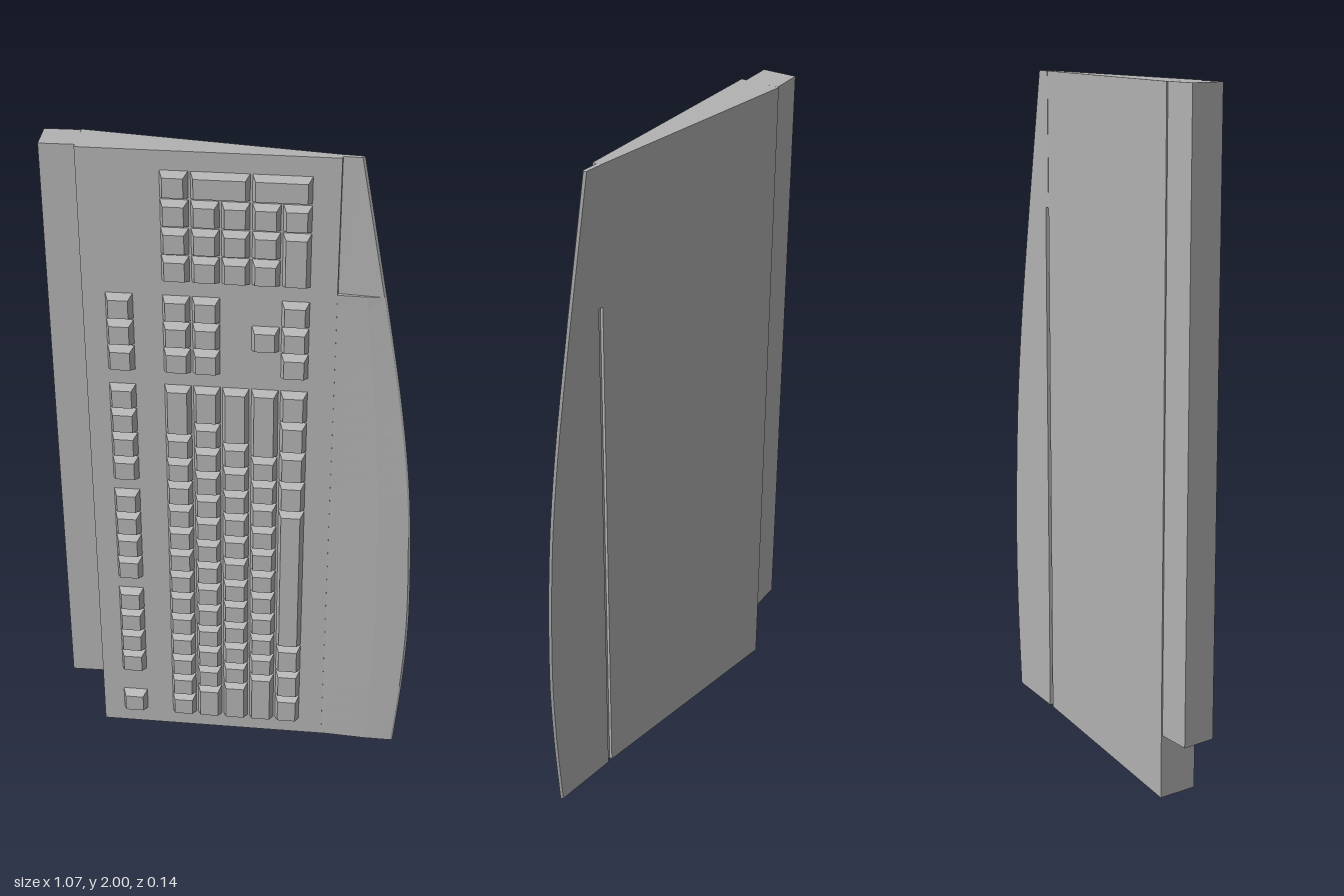
import * as THREE from 'three';

const SLOPE = 0.101; // fall of the top surface along x
const deckZ = (x) => 0.006 - SLOPE * x;

// Skin a stack of [y, [[x, z], ...]] rings; rings run along the front, then return along the back
function loft(sections) {
  const pos = [];
  const tri = (...pts) => pts.forEach((p) => pos.push(...p));
  const rings = sections.map(([y, ring]) => ring.map(([x, z]) => [x, y, z]));
  for (let k = 0; k < rings.length - 1; k++) {
    const a = rings[k], b = rings[k + 1];
    a.forEach((p, i) => {
      const j = (i + 1) % a.length;
      tri(p, a[j], b[j]);
      tri(p, b[j], b[i]);
    });
  }
  [[rings[0], true], [rings[rings.length - 1], false]].forEach(([ring, flip]) => {
    const flat = ring.map((p) => new THREE.Vector2(p[0], -p[2]));
    THREE.ShapeUtils.triangulateShape(flat, []).forEach(([a, b, c]) =>
      flip ? tri(ring[a], ring[c], ring[b]) : tri(ring[a], ring[b], ring[c]));
  });
  const g = new THREE.BufferGeometry();
  g.setAttribute('position', new THREE.Float32BufferAttribute(pos, 3));
  g.computeVertexNormals();
  return g;
}

// Keycap: box whose front face is drawn in
function keyGeometry(w, h) {
  const d = 0.034, inset = 0.012;
  const g = new THREE.BoxGeometry(w, h, d);
  const p = g.attributes.position;
  for (let i = 0; i < p.count; i++) {
    if (p.getZ(i) > 0) {
      p.setX(i, p.getX(i) - Math.sign(p.getX(i)) * inset);
      p.setY(i, p.getY(i) - Math.sign(p.getY(i)) * inset);
    }
  }
  g.translate(0, 0, d / 2 - 0.005);
  g.computeVertexNormals();
  return g;
}

export function createModel() {
  const model = new THREE.Group();
  const grey = new THREE.MeshStandardMaterial({ color: 0xb2b2b2 });
  grey.name = 'plasticGrey';
  const add = (name, geometry, parent = model) => {
    const m = new THREE.Mesh(geometry, grey);
    m.name = name;
    parent.add(m);
    return m;
  };

  // Wedge-shaped case
  const caseRing = [[-0.425, 0.049], [0.279, -0.022], [0.279, -0.047], [-0.438, -0.07]];
  add('case', loft([[0, caseRing], [2, caseRing]]));

  // Raised strip along the rear edge
  const stripRing = [[-0.525, 0.046], [-0.426, 0.034], [-0.438, -0.066], [-0.538, -0.054]];
  add('rearStrip', loft([[0.19, stripRing], [2, stripRing]]));

  // Palm rest with a curved, thin outer edge and a groove behind the joint
  const curve = new THREE.SplineCurve([
    [0.51, 0], [0.529, 0.28], [0.533, 0.55], [0.514, 0.92], [0.475, 1.24], [0.412, 1.6],
  ].map(([x, y]) => new THREE.Vector2(x, y)));
  const rest = [];
  for (let i = 0; i <= 24; i++) {
    const { x: e, y } = curve.getPoint(i / 24);
    const m = 0.279 + 0.6 * (e - 0.279);
    rest.push([y, [
      [0.279, -0.023], [m, -0.029], [e - 0.006, -0.037], [e, -0.042], [e - 0.006, -0.048],
      [0.296, -0.048], [0.296, -0.038], [0.279, -0.038],
    ]]);
  }
  add('palmRest', loft(rest));

  // Lower, sloping end of the palm rest
  const endRing = (e) => [
    [0.279, -0.034], [e - 0.006, -0.036], [e, -0.042], [e - 0.006, -0.048], [0.279, -0.048],
  ];
  add('palmRestEnd', loft([[1.6, endRing(0.412)], [2, endRing(0.336)]]));

  // Keys: one row runs along y, rows are stacked along x
  const U = 0.0824, X0 = -0.163;
  const keys = new THREE.Group();
  keys.name = 'keys';
  model.add(keys);
  const addKey = (x, y, length, rows = 1) => {
    const k = add('key', keyGeometry(rows * U - 0.002, length * U - 0.002), keys);
    k.position.set(x, y + length * U / 2, deckZ(x));
    k.rotation.y = Math.atan(SLOPE);
  };
  const addRow = (x, y, lengths) => lengths.forEach((l) => {
    addKey(x, y, l);
    y += l * U;
  });
  const ones = (n) => Array(n).fill(1);

  // Separate rear row, in groups
  [[0.055, 1], [0.222, 4], [0.592, 4], [0.957, 4], [1.33, 3]]
    .forEach(([y, n]) => addRow(-0.322, y, ones(n)));

  // Main block
  [
    [...ones(13), 2],
    [1.5, ...ones(12), 1.5],
    [1.75, ...ones(11), 2.25],
    [2.25, ...ones(10), 2.75],
    [1.25, 1.25, 1.25, 6.25, 1.25, 1.25, 1.25, 1.25],
  ].forEach((row, r) => addRow(X0 + r * U, 0.055, row));

  // Navigation and arrow keys
  const navY = 1.33;
  addRow(X0, navY, ones(3));
  addRow(X0 + U, navY, ones(3));
  addKey(X0 + 3 * U, navY + U, 1);
  addRow(X0 + 4 * U, navY, ones(3));

  // Number pad with two double-depth keys and one double-length key
  const padY = 1.618;
  addRow(X0, padY, ones(4));
  [1, 2, 3].forEach((r) => addRow(X0 + r * U, padY, ones(3)));
  addRow(X0 + 4 * U, padY, [2, 1]);
  [1.5, 3.5].forEach((r) => addKey(X0 + r * U, padY + 3 * U, 1, 2));

  return model;
}
